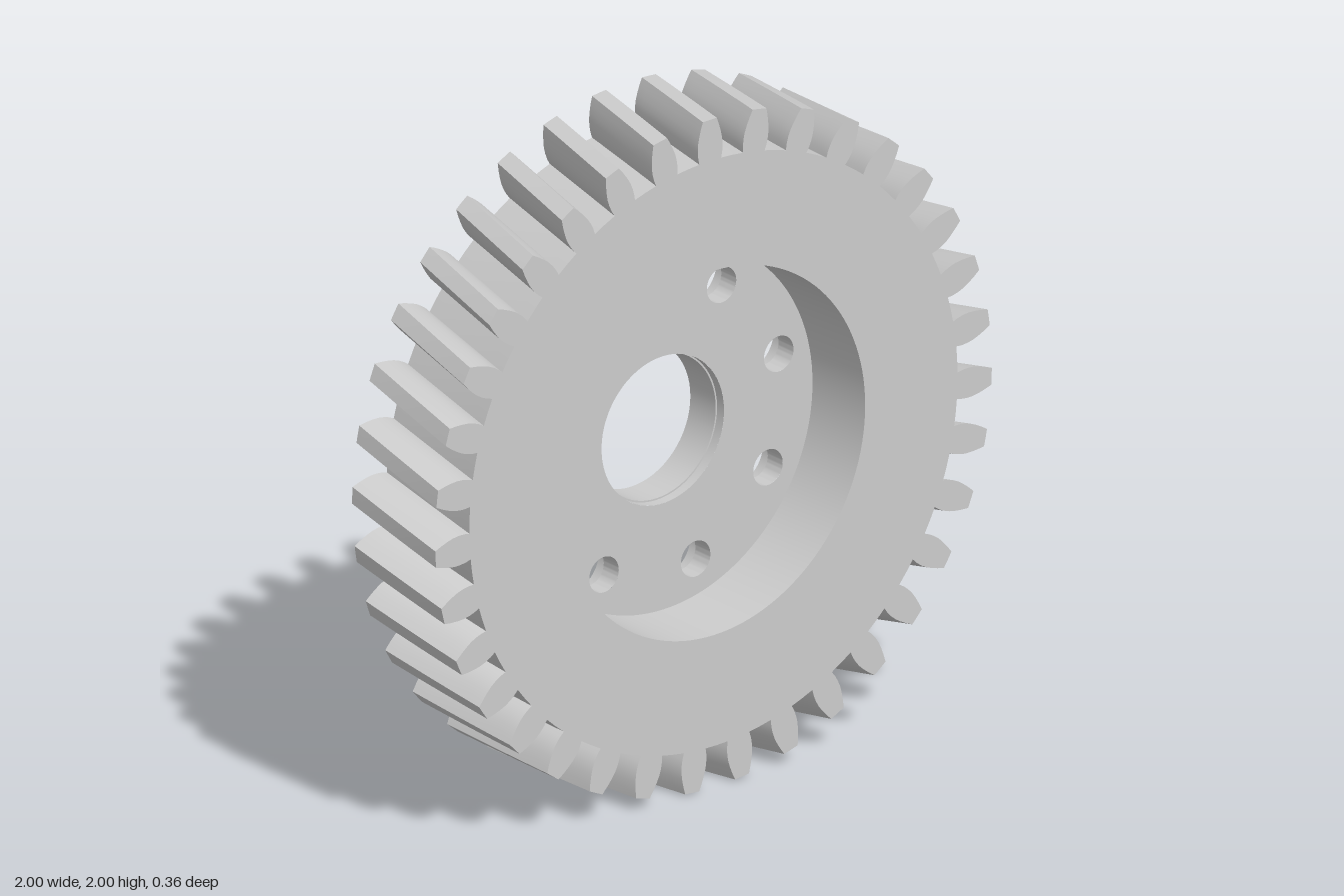
import * as THREE from 'three';
import { toCreasedNormals } from 'three/addons/utils/BufferGeometryUtils.js';

const TEETH = 35, HALF = 0.18, TWIST = 0.079, PHASE = Math.PI / 2 + 0.013;
const FLOOR = -0.04, RECESS_R = 0.545, FLOOR_R = 0.538, BORE_R = 0.22, BORE_BACK_R = 0.215;
const HOLES = 8, HOLE_CIRCLE = 0.433, HOLE_START = 0.276, HOLE_R = 0.053, COUNTERBORE_R = 0.098;

// One tooth flank from root to tip: [radius, half width]
const FLANK = [[0.877, 0.039], [0.895, 0.043], [0.915, 0.0445], [0.935, 0.0435],
  [0.955, 0.0395], [0.978, 0.033], [1, 0.025]];

// Gear outline, anticlockwise, turned by an angle
function gearOutline(turn) {
  const pts = [];
  const add = (r, a) => pts.push(new THREE.Vector2(r * Math.cos(a), r * Math.sin(a)));
  const pitch = (2 * Math.PI) / TEETH;
  for (let i = 0; i < TEETH; i++) {
    const a = PHASE + turn + i * pitch;
    add(FLANK[0][0], a - pitch / 2);
    for (const [r, w] of FLANK) add(r, a - w / r);
    add(1, a);
    for (const [r, w] of [...FLANK].reverse()) add(r, a + w / r);
  }
  return pts;
}

// Helical tooth surface between the two faces
function toothSurface() {
  const steps = 8, rings = [], pos = [];
  for (let s = 0; s <= steps; s++) {
    const t = s / steps, z = -HALF + 2 * HALF * t;
    rings.push(gearOutline(-TWIST * (1 - t)).map(p => [p.x, p.y, z]));
  }
  for (let s = 0; s < steps; s++) {
    const back = rings[s], front = rings[s + 1], n = back.length;
    for (let i = 0; i < n; i++) {
      const j = (i + 1) % n;
      pos.push(...back[i], ...back[j], ...front[j], ...back[i], ...front[j], ...front[i]);
    }
  }
  const g = new THREE.BufferGeometry();
  g.setAttribute('position', new THREE.Float32BufferAttribute(pos, 3));
  return toCreasedNormals(g, 0.5);
}

// Flat face with round holes; holes are [x, y, radius]
function face(outline, holes, z, facingBack = false) {
  const m = facingBack ? -1 : 1;
  const shape = new THREE.Shape(outline.map(p => new THREE.Vector2(p.x * m, p.y)));
  for (const [x, y, r] of holes) {
    shape.holes.push(new THREE.Path().absarc(x * m, y, r, 0, 2 * Math.PI, true));
  }
  const g = new THREE.ShapeGeometry(shape, 64);
  if (facingBack) g.rotateY(Math.PI);
  return g.translate(0, 0, z);
}

// Inner wall turned about z; profile runs front to back as [radius, z]
function innerWall(profile, segments) {
  const g = new THREE.LatheGeometry(profile.map(([r, z]) => new THREE.Vector2(r, z)), segments);
  return toCreasedNormals(g.rotateX(Math.PI / 2), 0.5);
}

export function createModel() {
  const group = new THREE.Group();
  const material = new THREE.MeshStandardMaterial({ color: 0xcccccc });
  const add = (name, geometry) => {
    const mesh = new THREE.Mesh(geometry, material);
    mesh.name = name;
    group.add(mesh);
    return mesh;
  };

  const centres = Array.from({ length: HOLES }, (_, i) => {
    const a = HOLE_START + (i * 2 * Math.PI) / HOLES;
    return [HOLE_CIRCLE * Math.cos(a), HOLE_CIRCLE * Math.sin(a)];
  });
  const boltHoles = r => centres.map(([x, y]) => [x, y, r]);

  // Toothed rim and faces
  add('helicalTeeth', toothSurface());
  add('frontFace', face(gearOutline(0), [[0, 0, RECESS_R]], HALF));
  add('backFace', face(gearOutline(-TWIST), [[0, 0, BORE_BACK_R], ...boltHoles(COUNTERBORE_R)], -HALF, true));

  // Front recess
  const floorCircle = new THREE.Path().absarc(0, 0, FLOOR_R, 0, 2 * Math.PI).getPoints(64).slice(0, -1);
  add('recessWall', innerWall([[RECESS_R, HALF], [FLOOR_R, FLOOR]], 128));
  add('recessFloor', face(floorCircle, [[0, 0, BORE_R], ...boltHoles(HOLE_R)], FLOOR));

  // Stepped centre bore
  add('centreBore', innerWall([[BORE_R, FLOOR], [BORE_R, FLOOR - 0.03],
    [BORE_BACK_R, FLOOR - 0.03], [BORE_BACK_R, -HALF]], 64));

  // Bolt holes, counterbored from the back
  const boltWall = innerWall([[HOLE_R, FLOOR], [HOLE_R, -0.105],
    [COUNTERBORE_R, -0.105], [COUNTERBORE_R, -HALF]], 64);
  centres.forEach(([x, y], i) => add(`boltHole${i + 1}`, boltWall).position.set(x, y, 0));

  // Stand on the ground
  group.children.forEach(part => { part.position.y += 1; });
  return group;
}
